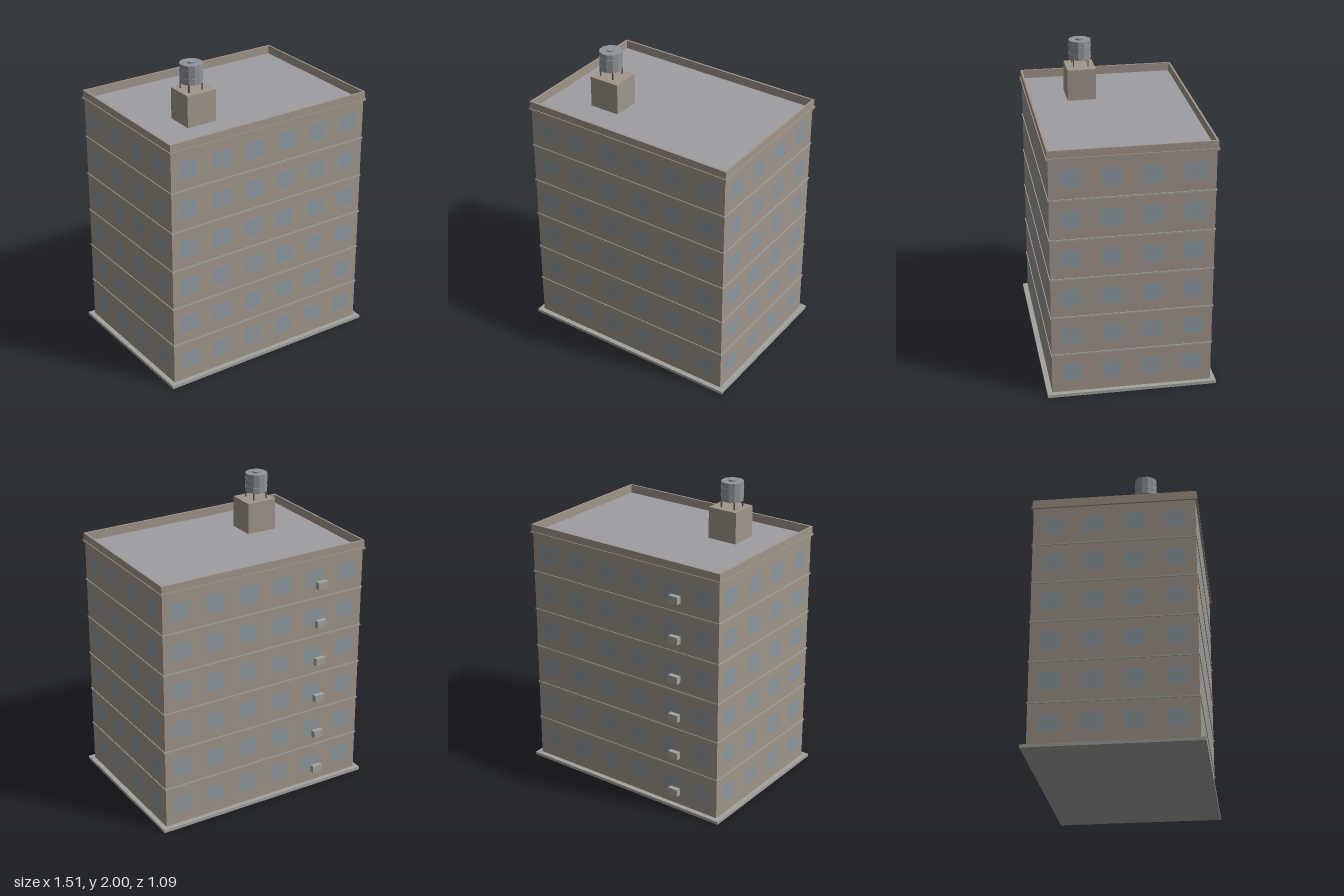
import * as THREE from 'three';

const W = 1.45, D = 1.02, FLOORS = 6, FLOOR_H = 0.265, BASE_H = 0.02;
const ROOF_Y = BASE_H + FLOORS * FLOOR_H;

const mat = (color) => new THREE.MeshStandardMaterial({ color });

export function createModel() {
  const model = new THREE.Group();
  model.name = 'apartmentBuilding';
  const wall = mat(0xa0968a), stone = mat(0xa2a29d), glass = mat(0x8c989f);
  const roofing = mat(0x9d9da3), metal = mat(0x8f9599), dark = mat(0x55585a);
  metal.flatShading = true;

  const add = (name, geometry, material, x = 0, y = 0, z = 0, parent = model) => {
    const mesh = new THREE.Mesh(geometry, material);
    mesh.name = name;
    mesh.position.set(x, y, z);
    parent.add(mesh);
    return mesh;
  };
  // Box standing on height y
  const box = (name, w, h, d, material, x, y, z, parent) =>
    add(name, new THREE.BoxGeometry(w, h, d), material, x, y + h / 2, z, parent);

  // Rectangular frame lying flat, its bottom at height y
  const frame = (name, ow, od, iw, id, h, material, y) => {
    const rect = (path, w, d) => path.moveTo(-w / 2, -d / 2).lineTo(w / 2, -d / 2)
      .lineTo(w / 2, d / 2).lineTo(-w / 2, d / 2).closePath();
    const shape = rect(new THREE.Shape(), ow, od);
    shape.holes.push(rect(new THREE.Path(), iw, id));
    const geometry = new THREE.ExtrudeGeometry(shape, { depth: h, bevelEnabled: false });
    geometry.rotateX(-Math.PI / 2);
    return add(name, geometry, material, 0, y, 0);
  };

  // Plinth, walls and roof deck
  box('plinth', 1.515, BASE_H, 1.085, stone, 0, 0, 0);
  box('walls', W, ROOF_Y - BASE_H, D, wall, 0, BASE_H, 0);
  box('roofDeck', W - 0.01, 0.004, D - 0.01, roofing, 0, ROOF_Y, 0);

  // Belt courses between the floors
  for (let i = 1; i < FLOORS; i++) {
    frame('beltCourse', W + 0.01, D + 0.01, W - 0.01, D - 0.01, 0.01, stone,
      BASE_H + i * FLOOR_H - 0.001);
  }

  // Cornice and parapet
  frame('cornice', W + 0.024, D + 0.026, W - 0.012, D - 0.012, 0.012, wall, ROOF_Y);
  frame('parapet', W + 0.012, D + 0.014, W - 0.012, D - 0.012, 0.06, wall, ROOF_Y);

  // Windows, flush with each of the four walls
  const pane = new THREE.PlaneGeometry(0.13, 0.115);
  const sides = [
    { name: 'front', turn: 0, width: W, out: D / 2, columns: 6 },
    { name: 'left', turn: Math.PI / 2, width: D, out: W / 2, columns: 4 },
    { name: 'back', turn: Math.PI, width: W, out: D / 2, columns: 6 },
    { name: 'right', turn: -Math.PI / 2, width: D, out: W / 2, columns: 4 },
  ];
  for (const side of sides) {
    const group = new THREE.Group();
    group.name = side.name + 'Windows';
    group.rotation.y = side.turn;
    model.add(group);
    for (let f = 0; f < FLOORS; f++) {
      for (let c = 0; c < side.columns; c++) {
        const x = ((c + 0.5) / side.columns - 0.5) * side.width;
        add('window', pane, glass, x, BASE_H + 0.14 + f * FLOOR_H, side.out + 0.001, group);
      }
    }
  }

  // Air conditioners up the back wall
  for (let f = 0; f < FLOORS; f++) {
    box('airConditioner', 0.07, 0.048, 0.038, stone, -0.408, 0.088 + f * FLOOR_H, -0.524);
  }

  // Stair penthouse
  const houseTop = 1.82;
  box('penthouse', 0.205, houseTop - ROOF_Y, 0.186, wall, -0.338, ROOF_Y, 0.166);

  // Water tank on four legs
  const tank = new THREE.Group();
  tank.name = 'waterTank';
  tank.position.set(-0.35, houseTop, 0.163);
  model.add(tank);
  const drum = (name, r, y, h, material) => add(name,
    new THREE.CylinderGeometry(r, r, h, 12, 1, false, Math.PI / 12), material, 0, y + h / 2, 0, tank);
  for (const x of [-0.048, 0.048]) {
    for (const z of [-0.048, 0.048]) box('tankLeg', 0.007, 0.05, 0.007, dark, x, 0, z, tank);
  }
  drum('tankDrum', 0.073, 0.047, 0.123, metal);
  for (const y of [0.08, 0.13]) drum('tankHoop', 0.075, y, 0.005, metal);
  drum('tankHatch', 0.026, 0.17, 0.01, metal);

  return model;
}
